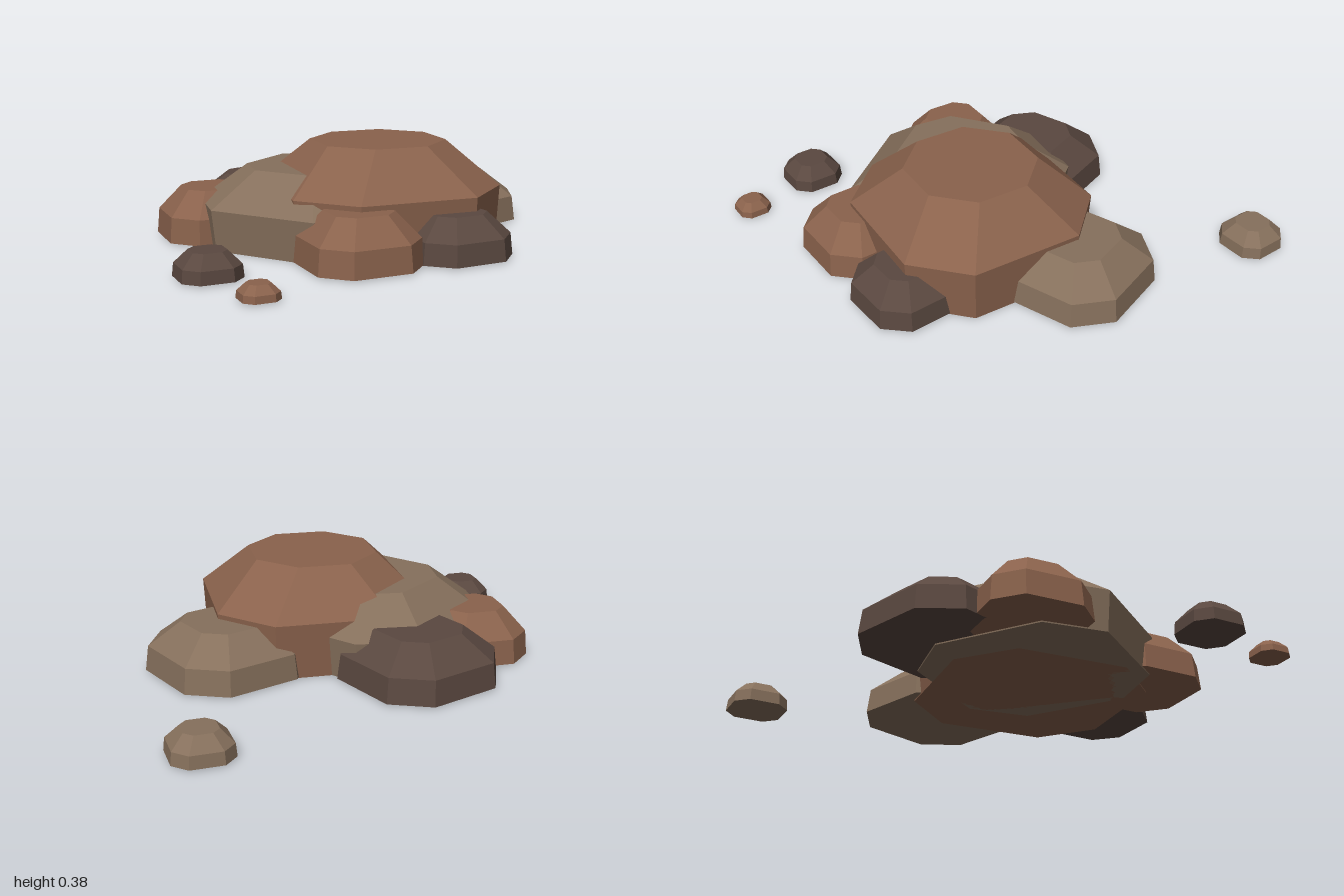
import * as THREE from 'three';

const BROWN = 0x8a624c, TAN = 0x86705c, DARK = 0x5a4840;

// Eight-sided boulder: chamfered-square rings stacked from base to flat top.
// rings: [half width, y, half edge as a fraction of half width]
function boulderGeometry(rings) {
  const pos = [], index = [];
  for (const [w, y, f] of rings) {
    const e = w * f;
    for (const [x, z] of [[w, -e], [w, e], [e, w], [-e, w], [-w, e], [-w, -e], [-e, -w], [e, -w]]) {
      pos.push(x, y, z);
    }
  }
  // Sides
  for (let k = 0; k < rings.length - 1; k++) {
    for (let i = 0; i < 8; i++) {
      const a = k * 8 + i, b = k * 8 + (i + 1) % 8;
      index.push(a, a + 8, b, b, a + 8, b + 8);
    }
  }
  // Flat top and underside
  const t = (rings.length - 1) * 8;
  for (let i = 1; i < 7; i++) {
    index.push(t, t + i + 1, t + i);
    index.push(0, i, i + 1);
  }
  const geo = new THREE.BufferGeometry();
  geo.setAttribute('position', new THREE.Float32BufferAttribute(pos, 3));
  geo.setIndex(index);
  geo.computeVertexNormals();
  return geo;
}

// w: half width, h: height, deg: turn from +x towards +z
function boulder({ name, color, x, z, w, h, deg = 0, y = 0.005, base = 1, mid = 0.96, midY = 0.52, top = 0.555, topEdge = 0.53 }) {
  const geo = boulderGeometry([
    [w * base, y, 0.545],
    [w * mid, h * midY, 0.545],
    [w * top, h, topEdge],
  ]);
  const mesh = new THREE.Mesh(geo, new THREE.MeshStandardMaterial({ color, flatShading: true }));
  mesh.name = name;
  mesh.position.set(x, 0, z);
  mesh.rotation.y = -THREE.MathUtils.degToRad(deg);
  return mesh;
}

export function createModel() {
  const group = new THREE.Group();
  group.name = 'rockPile';
  const rocks = [
    // Two large boulders in the middle, bulging slightly above the ground
    { name: 'mainBoulder', color: BROWN, x: -0.04, z: 0.11, w: 0.415, h: 0.385, deg: 23.6, y: 0, base: 0.97, mid: 1, midY: 0.56, top: 0.58, topEdge: 0.43 },
    { name: 'backBoulder', color: TAN, x: -0.21, z: -0.05, w: 0.4, h: 0.29, deg: -17, y: 0, base: 0.96, mid: 1, midY: 0.54, top: 0.6 },
    // Ring of medium rocks
    { name: 'leftRock', color: TAN, x: 0.41, z: 0.05, w: 0.27, h: 0.197 },
    { name: 'rearRock', color: DARK, x: -0.13, z: -0.45, w: 0.27, h: 0.197 },
    { name: 'frontRock', color: DARK, x: -0.05, z: 0.515, w: 0.188, h: 0.165, deg: 17.5 },
    { name: 'frontRightRock', color: BROWN, x: -0.396, z: 0.369, w: 0.205, h: 0.197, deg: 19.5 },
    { name: 'rearRightRock', color: BROWN, x: -0.477, z: -0.367, w: 0.197, h: 0.197, deg: 22 },
    // Scattered stones
    { name: 'leftStone', color: TAN, x: 0.873, z: -0.538, w: 0.11, h: 0.1, deg: 18 },
    { name: 'rightStone', color: DARK, x: -0.88, z: 0.13, w: 0.11, h: 0.1, deg: 20 },
    { name: 'rightPebble', color: BROWN, x: -0.923, z: 0.45, w: 0.066, h: 0.058, deg: 20 },
  ];
  for (const rock of rocks) group.add(boulder(rock));
  return group;
}
